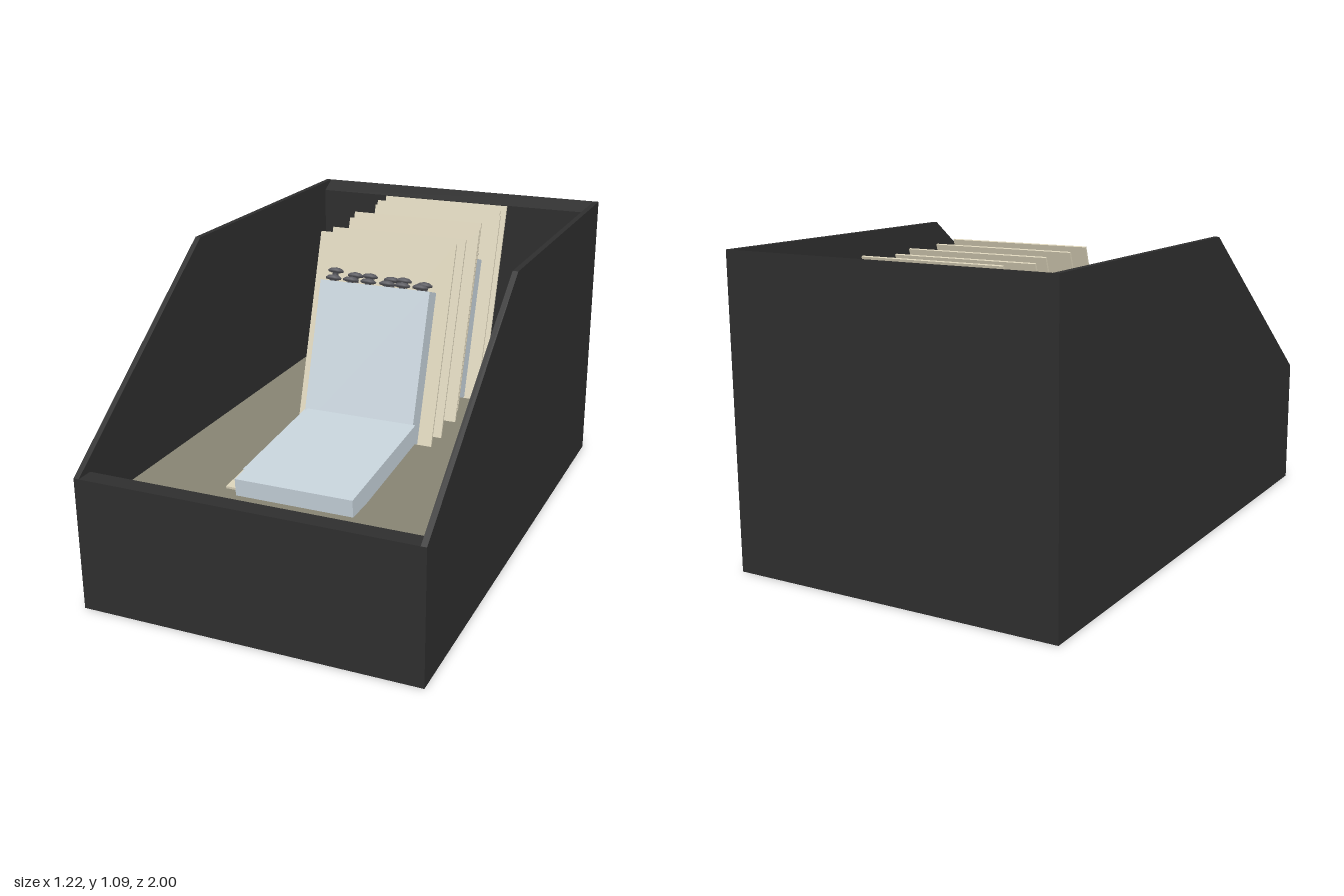
import * as THREE from 'three';

const mat = (name, color) => Object.assign(new THREE.MeshStandardMaterial({ color }), { name });

export function createModel() {
  const dark = mat('charcoal tray', 0x2e2e2e);
  const taupe = mat('taupe floor', 0x868372);
  const tan = mat('cream card', 0xd9d1b8);
  const blue = mat('pale blue block', 0xc6d2da);
  const grey = mat('grey pin', 0x5c5c62);

  const model = new THREE.Group();
  model.name = 'trayWithCards';
  const floorY = 0.35;

  function add(parent, name, geometry, material, x = 0, y = 0, z = 0) {
    const mesh = new THREE.Mesh(geometry, material);
    mesh.name = name;
    mesh.position.set(x, y, z);
    parent.add(mesh);
    return mesh;
  }

  // Profile given as (z, y) points, extruded along x and centred on x = 0
  function profile(points, width) {
    const shape = new THREE.Shape(points.map(([z, y]) => new THREE.Vector2(z, y)));
    const g = new THREE.ExtrudeGeometry(shape, { depth: width, bevelEnabled: false });
    return g.rotateY(-Math.PI / 2).translate(width / 2, 0, 0);
  }

  // Tray: sloped side walls, front and back walls, base and raised floor
  const sideShape = [[1, 0], [1, 0.48], [0.16, 1.09], [-1, 1.09], [-1, 0]];
  for (const s of [1, -1]) {
    add(model, s > 0 ? 'leftWall' : 'rightWall', profile(sideShape, 0.02), dark, s * 0.6);
  }
  add(model, 'frontWall', new THREE.BoxGeometry(1.18, 0.48, 0.065), dark, 0, 0.24, 0.9675);
  add(model, 'backWall', profile([[-0.935, 0], [-0.935, 1.055], [-1, 1.09], [-1, 0]], 1.18), dark);
  add(model, 'base', new THREE.BoxGeometry(1.18, 0.02, 1.87), dark, 0, 0.01, 0);
  add(model, 'floor', new THREE.BoxGeometry(1.18, 0.02, 1.87), taupe, 0, floorY - 0.01, 0);

  // Pin: stem with a flattened head
  const pinGeo = new THREE.LatheGeometry(
    [[0.013, 0], [0.011, 0.018], [0.028, 0.022], [0.03, 0.029], [0.018, 0.037], [0, 0.04]]
      .map(([x, y]) => new THREE.Vector2(x, y)), 12);
  const pinX = [-0.175, -0.105, -0.035, 0.04, 0.1, 0.17];
  const pinLift = [0.012, 0.002, 0.004, 0, 0.002, -0.006];

  // Leaning cards: [x centre, z of the top edge, top height]
  const cards = [
    [-0.025, -0.925, 1.055], [-0.025, -0.83, 1.055], [0.008, -0.725, 1.06], [-0.028, -0.59, 1.055],
    [0.005, -0.465, 1.06], [0.008, -0.295, 1.06], [0.008, -0.185, 1.068],
  ];
  const tilt = 0.319;
  const cardGeo = new THREE.BoxGeometry(0.54, 0.745, 0.008);
  const blockGeo = new THREE.BoxGeometry(0.432, 0.56, 0.074);
  cards.forEach(([x, topZ, topY], i) => {
    const card = new THREE.Group();
    card.name = 'leaningCard' + (i + 1);
    card.position.set(x, topY - 0.745 * Math.cos(tilt), topZ + 0.745 * Math.sin(tilt));
    card.rotation.x = -tilt;
    add(card, 'backing', cardGeo, tan, 0, 0.3725, 0);
    add(card, 'block', blockGeo, blue, 0, 0.282, 0.041);
    // Two staggered rows of pins along the block's top edge
    pinX.forEach((px, j) => {
      add(card, 'backPin', pinGeo, grey, px + 0.006 * (j % 2 ? 1 : -1), 0.562 + pinLift[j], 0.026);
      add(card, 'frontPin', pinGeo, grey, px, 0.546, 0.054);
    });
    model.add(card);
  });

  // Opened card lying on the floor, with two blocks stacked on it
  const lying = new THREE.Group();
  lying.name = 'lyingCard';
  lying.position.set(0.018, 0.4, 0.385);
  lying.rotation.x = 0.08;
  add(lying, 'topBlock', new THREE.BoxGeometry(0.432, 0.072, 0.575), blue);
  add(lying, 'lowerBlock', new THREE.BoxGeometry(0.43, 0.04, 0.53), blue, -0.03, -0.008, -0.09);
  add(lying, 'backing', new THREE.BoxGeometry(0.44, 0.008, 0.6), tan, -0.048, -0.02, -0.04);
  model.add(lying);

  return model;
}
